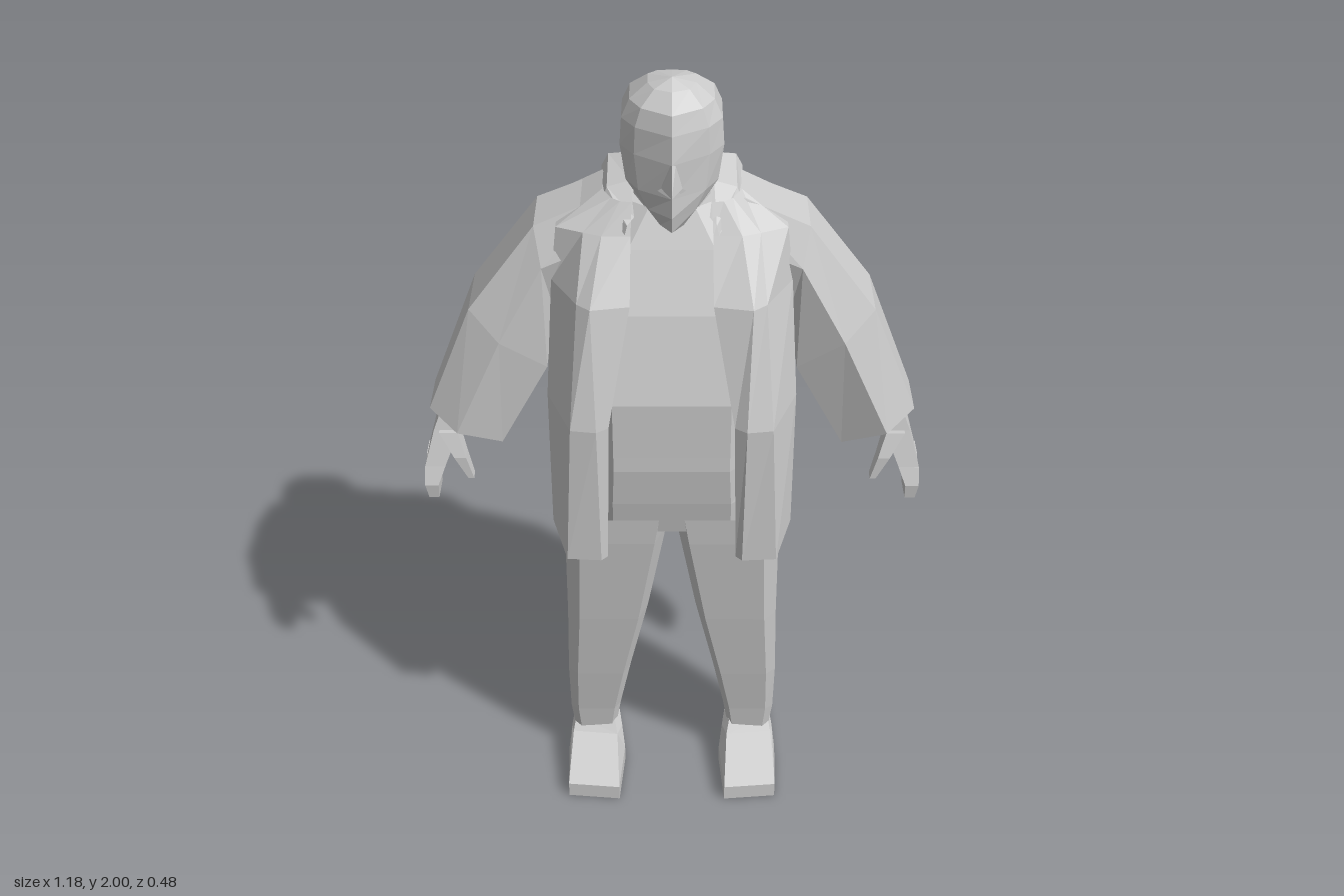
import * as THREE from 'three';

const grey = new THREE.MeshStandardMaterial({ color: 0xcccccc, flatShading: true, side: THREE.DoubleSide });
grey.name = 'light grey';

// Skin a list of equal-length rings of [x, y, z] points
function loft(name, rings, { closed = true, capStart = false, capEnd = false } = {}) {
  const pos = [];
  const n = rings[0].length;
  for (let r = 0; r < rings.length - 1; r++) {
    for (let i = 0; i < (closed ? n : n - 1); i++) {
      const j = (i + 1) % n;
      const a = rings[r][i], b = rings[r][j], c = rings[r + 1][j], d = rings[r + 1][i];
      pos.push(...a, ...b, ...c, ...a, ...c, ...d);
    }
  }
  const first = rings[0], last = rings[rings.length - 1];
  for (let i = 1; i < n - 1; i++) {
    if (capStart) pos.push(...first[0], ...first[i + 1], ...first[i]);
    if (capEnd) pos.push(...last[0], ...last[i], ...last[i + 1]);
  }
  const g = new THREE.BufferGeometry();
  g.setAttribute('position', new THREE.Float32BufferAttribute(pos, 3));
  g.computeVertexNormals();
  const m = new THREE.Mesh(g, grey);
  m.name = name;
  return m;
}

// Half ring (front to back, last point on the centre line) mirrored to a full one
function mirrorRing(half) {
  const other = half.slice(0, -1).reverse().map(([x, y, z]) => [-x, y, z]);
  return [...half, ...other];
}
const level = (y, half) => mirrorRing(half.map(([x, z]) => [x, y, z]));

// Ring pointing downwards, for hands: centre and half sizes
const block = ([x, y, z, w, d]) => [[x - w, y, z - d], [x + w, y, z - d], [x + w, y, z + d], [x - w, y, z + d]];

function buildHead() {
  const head = new THREE.Group();
  head.name = 'head';
  // y, half width, centre front z, front side z, back z
  const rows = [
    [1.685, 0.035, 0.12, 0.085, 0.0], [1.725, 0.07, 0.133, 0.09, -0.075],
    [1.77, 0.098, 0.132, 0.088, -0.108], [1.85, 0.109, 0.137, 0.085, -0.117],
    [1.91, 0.105, 0.13, 0.085, -0.112], [1.95, 0.088, 0.118, 0.08, -0.088], [1.982, 0.05, 0.075, 0.06, -0.035],
  ];
  const rings = rows.map(([y, w, f, s, b]) => {
    const half = [[w * 0.72, s], [w, s * 0.45], [w, b * 0.45], [w * 0.62, b * 0.9], [0, b]];
    return [...level(y, half), [0, y, f]];
  });
  rings.push(rings[0].map(() => [0, 2, 0.04]));
  head.add(loft('skull', rings, { capStart: true }));
  // Nose wedge
  head.add(loft('nose', [
    [[-0.03, 1.782, 0.115], [0, 1.772, 0.13], [0.03, 1.782, 0.115]],
    [[-0.022, 1.79, 0.12], [0, 1.79, 0.168], [0.022, 1.79, 0.12]],
    [[-0.008, 1.85, 0.13], [0, 1.85, 0.138], [0.008, 1.85, 0.13]],
  ], { capStart: true }));
  const neck = new THREE.Mesh(new THREE.CylinderGeometry(0.078, 0.09, 0.16, 8), grey);
  neck.name = 'neck';
  neck.position.set(0, 1.7, -0.01);
  head.add(neck);
  return head;
}

function buildTorso() {
  const torso = new THREE.Group();
  torso.name = 'torso';
  // Shirt: y, half width, front z, back z
  const shirt = [[1.155, 0.24, 0.207, -0.19], [1.3, 0.24, 0.208, -0.2], [1.5, 0.22, 0.155, -0.19],
    [1.63, 0.17, 0.095, -0.14], [1.71, 0.09, 0.055, -0.09]];
  const body = ([y, w, f, b]) => level(y, [[w * 0.55, f], [w, f * 0.45], [w, b * 0.5], [w * 0.7, b], [0, b]]);
  torso.add(loft('shirt', shirt.map(body), { capStart: true, capEnd: true }));
  torso.add(loft('belt', [[1.112, 0.24, 0.202, -0.19], [1.155, 0.24, 0.202, -0.19]].map(body)));
  const hips = [[0.9, 0.253, 0.16, -0.175], [1.0, 0.25, 0.18, -0.185], [1.115, 0.24, 0.196, -0.19]];
  torso.add(loft('hips', hips.map(body), { capStart: true }));
  return torso;
}

function buildCoat() {
  const coat = new THREE.Group();
  coat.name = 'coat';
  const rows = [
    [0.87, [[0.15, 0.215], [0.165, 0.23], [0.245, 0.225], [0.287, 0.08], [0.28, -0.13], [0.22, -0.215], [0, -0.225]]],
    [1.25, [[0.14, 0.222], [0.167, 0.24], [0.225, 0.232], [0.283, 0.09], [0.28, -0.13], [0.22, -0.222], [0, -0.235]]],
    [1.53, [[0.09, 0.165], [0.175, 0.18], [0.205, 0.155], [0.265, 0.05], [0.265, -0.13], [0.2, -0.22], [0, -0.238]]],
    [1.66, [[0.088, 0.09], [0.15, 0.09], [0.19, 0.075], [0.25, 0.05], [0.25, -0.12], [0.17, -0.165], [0, -0.175]]],
    [1.725, [[0.085, 0.06], [0.11, 0.055], [0.13, 0.04], [0.15, 0], [0.15, -0.09], [0.1, -0.13], [0, -0.14]]],
  ];
  coat.add(loft('coatShell', rows.map(([y, half]) => level(y, half)), { closed: false }));
  // Folded collar around the neck
  const collar = [
    [[0.1, 1.665, 0.095], [0.15, 1.705, 0.01], [0.155, 1.722, -0.115], [0, 1.725, -0.145]],
    [[0.095, 1.685, 0.09], [0.14, 1.73, 0], [0.14, 1.75, -0.115], [0, 1.75, -0.142]],
    [[0.08, 1.695, 0.07], [0.09, 1.745, 0], [0.09, 1.765, -0.09], [0, 1.765, -0.11]],
  ];
  coat.add(loft('collar', collar.map(mirrorRing), { closed: false }));
  return coat;
}

function buildArm(name) {
  const arm = new THREE.Group();
  arm.name = name;
  // Sleeve: top x y, bottom x y, front z, back z
  const rows = [
    [0.14, 1.72, 0.2, 1.45, 0.05, -0.12], [0.3, 1.648, 0.262, 1.435, 0.062, -0.135],
    [0.455, 1.44, 0.285, 1.29, 0.08, -0.15], [0.565, 1.17, 0.4, 1.078, 0.085, -0.1],
  ];
  const profile = [[0, 0.4, 0], [0.4, 1, 0], [1, 0.5, 0], [1, 0.6, 1], [0.45, 1, 1], [0, 0.8, 1]];
  const sleeve = rows.map(([tx, ty, bx, by, f, b]) =>
    profile.map(([t, k, back]) => [tx + (bx - tx) * t, ty + (by - ty) * t, (back ? b : f) * k]));
  arm.add(loft('sleeve', sleeve));
  const caps = { capStart: true, capEnd: true };
  arm.add(loft('palm', [[0.49, 1.2, -0.02, 0.035, 0.04], [0.53, 1.11, -0.01, 0.03, 0.05],
    [0.562, 1.02, 0.012, 0.024, 0.052]].map(block), caps));
  arm.add(loft('fingers', [[0.562, 1.02, 0.035, 0.024, 0.03], [0.572, 0.975, 0.048, 0.016, 0.032],
    [0.57, 0.935, 0.04, 0.012, 0.035]].map(block), caps));
  arm.add(loft('littleFinger', [[0.568, 1.02, -0.015, 0.02, 0.025], [0.582, 0.97, 0.005, 0.01, 0.022],
    [0.577, 0.935, 0.01, 0.01, 0.015]].map(block), caps));
  arm.add(loft('thumb', [[0.525, 1.11, 0.03, 0.022, 0.022], [0.5, 1.05, 0.052, 0.014, 0.018],
    [0.478, 0.99, 0.058, 0.007, 0.012]].map(block), caps));
  return arm;
}

function buildLeg(name) {
  const leg = new THREE.Group();
  leg.name = name;
  // Trouser leg: y, inner x, outer x, front z, back z
  const rows = [
    [0.11, 0.15, 0.262, 0.045, -0.132], [0.19, 0.138, 0.27, 0.056, -0.135], [0.35, 0.108, 0.27, 0.085, -0.138],
    [0.58, 0.06, 0.262, 0.122, -0.125], [0.86, 0.012, 0.257, 0.16, -0.172], [0.94, 0, 0.252, 0.168, -0.18],
  ];
  leg.add(loft('trouserLeg', rows.map(([y, i, o, f, b]) => {
    const x = (t) => i + (o - i) * t;
    return [[x(0.12), y, f], [x(0.85), y, f], [x(1), y, f * 0.75], [x(1), y, b * 0.65],
      [x(0.75), y, b], [x(0.2), y, b], [x(0), y, b * 0.4], [x(0), y, f * 0.5]];
  })));
  // Shoe with a low square toe
  const shoe = [[0, 0.205, 0.06, -0.16, 0], [0.045, 0.205, 0.06, -0.157, 0],
    [0.1, 0.065, 0.03, -0.145, 0.008], [0.13, 0.04, 0, -0.13, 0.015]];
  leg.add(loft('shoe', shoe.map(([y, f, m, b, s]) => [[0.14 + s, y, f], [0.275 - s, y, f - 0.012],
    [0.28 - s, y, m], [0.265 - s, y, b], [0.165 + s, y, b], [0.128 + s, y, m]]), { capStart: true, capEnd: true }));
  return leg;
}

export function createModel() {
  const model = new THREE.Group();
  model.name = 'standingFigure';
  model.add(buildHead(), buildTorso(), buildCoat());
  for (const [side, sign] of [['left', 1], ['right', -1]]) {
    const arm = buildArm(side + 'Arm');
    const leg = buildLeg(side + 'Leg');
    arm.scale.x = leg.scale.x = sign;
    model.add(arm, leg);
  }
  return model;
}
